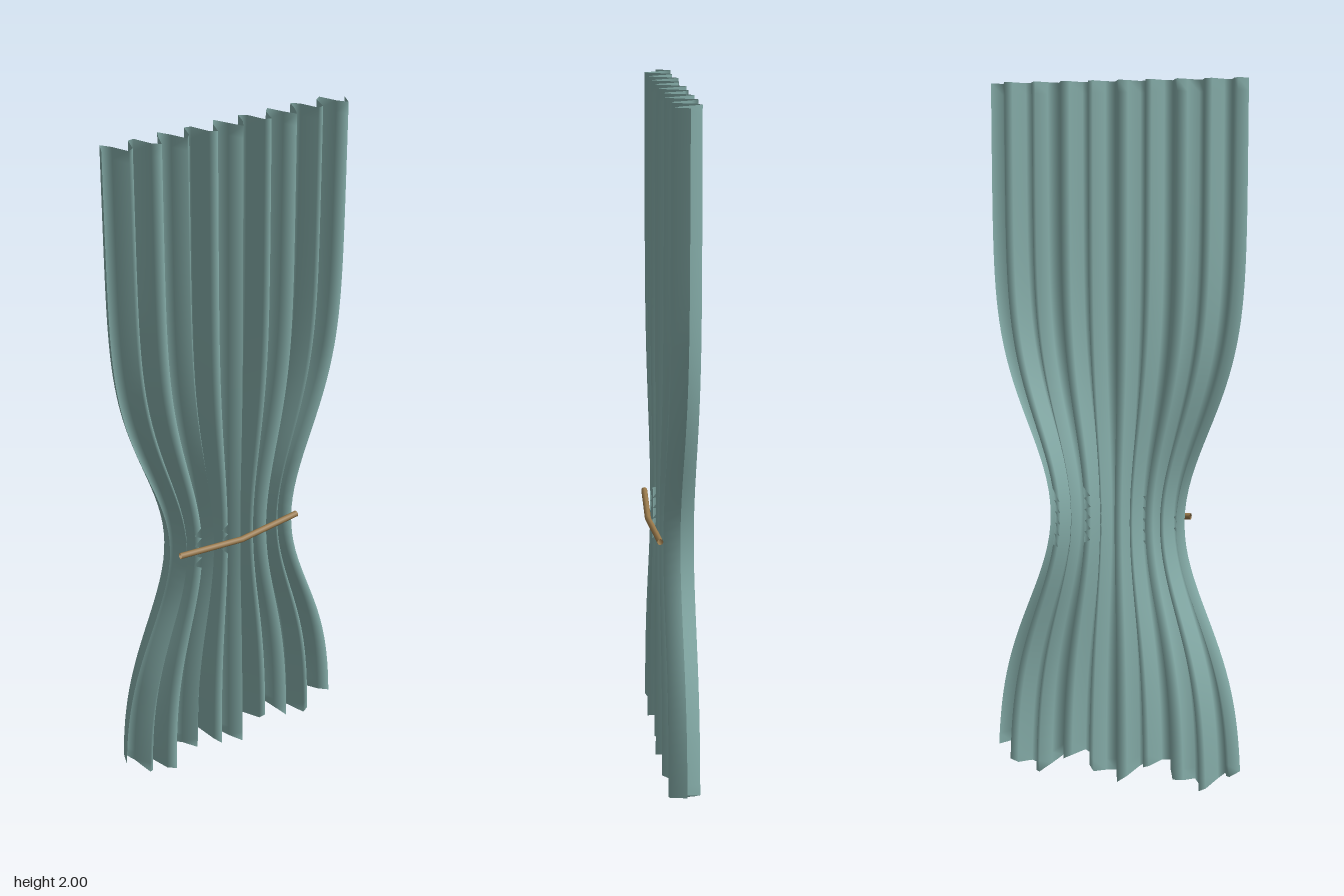
import * as THREE from 'three';

const HALF_WIDTH = 0.377;
const WAIST_Y = 0.77;

// Half width of the cloth at height y, gathered in at the tie
function halfWidth(y) {
  return HALF_WIDTH - 0.174 * Math.exp(-(((y - WAIST_Y) / 0.37) ** 2));
}

// Pleated sheet: nine folds across, deeper toward the floor, scalloped hem
function curtainGeometry() {
  const geometry = new THREE.PlaneGeometry(1, 1, 40, 60);
  const p = geometry.attributes.position;
  for (let i = 0; i < p.count; i++) {
    const u = p.getX(i); // -0.5 .. 0.5 across
    const v = p.getY(i) + 0.5; // 0 hem .. 1 top
    const hem = 0.03 - 0.03 * Math.cos(u * 6 * Math.PI);
    const y = hem + (2 - hem) * v;
    const depth = 0.05 - 0.008 * v;
    p.setXYZ(i, 2 * u * halfWidth(y), y, -0.012 + depth * Math.sin(u * 18 * Math.PI));
  }
  geometry.computeVertexNormals();
  return geometry;
}

export function createModel() {
  const model = new THREE.Group();
  model.name = 'tiedCurtain';

  const cloth = new THREE.MeshStandardMaterial({ color: 0x86aeaa, side: THREE.DoubleSide });
  const cord = new THREE.MeshStandardMaterial({ color: 0x9a7a4c, side: THREE.DoubleSide });

  const curtain = new THREE.Mesh(curtainGeometry(), cloth);
  curtain.name = 'curtain';
  model.add(curtain);

  // Tie cord across the front of the waist, sagging at the middle
  const path = new THREE.CatmullRomCurve3([
    new THREE.Vector3(-0.204, 0.779, 0.0445),
    new THREE.Vector3(0, 0.768, 0.056),
    new THREE.Vector3(0.204, 0.779, 0.0445),
  ]);
  const tie = new THREE.Mesh(new THREE.TubeGeometry(path, 2, 0.009, 8), cord);
  tie.name = 'tieCord';
  model.add(tie);

  return model;
}
